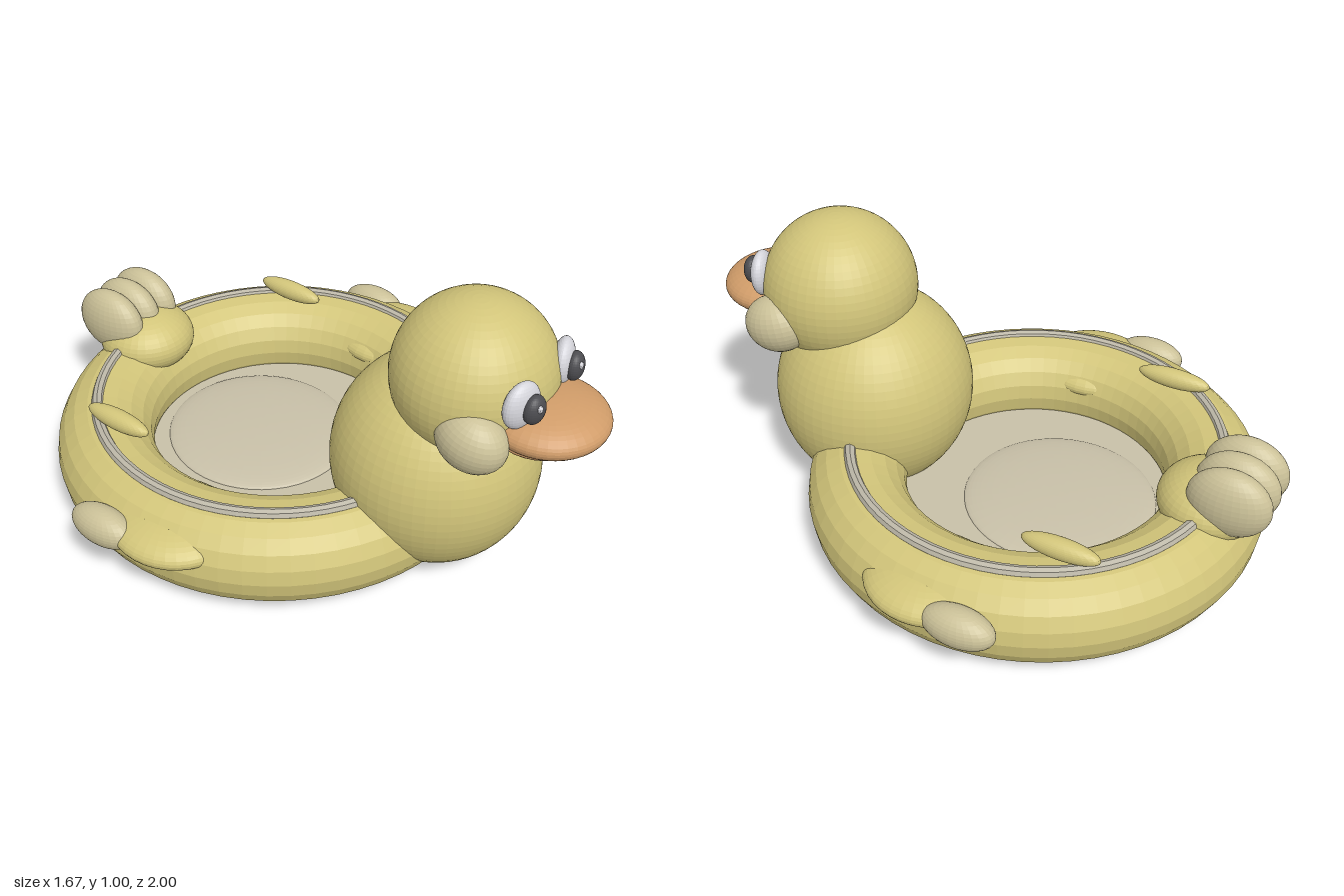
import * as THREE from 'three';

const mat = (name, color) => {
  const m = new THREE.MeshStandardMaterial({ color, flatShading: true });
  m.name = name;
  return m;
};

export function createModel() {
  const model = new THREE.Group();
  model.name = 'duckSwimRing';

  const yellow = mat('yellow', 0xd2c57a);
  const cream = mat('cream', 0xcbc198);
  const floorTone = mat('floorBeige', 0xc8c0a8);
  const trimGrey = mat('trimGrey', 0xbdb8a8);
  const orange = mat('beakOrange', 0xd09c69);
  const white = mat('eyeWhite', 0xd6d6dc);
  const dark = mat('pupilDark', 0x4c4c50);

  const RING_Z = -0.175;

  const add = (name, geometry, material, pos, rot = [0, 0, 0]) => {
    const mesh = new THREE.Mesh(geometry, material);
    mesh.name = name;
    mesh.position.set(...pos);
    mesh.rotation.set(...rot);
    model.add(mesh);
    return mesh;
  };

  // ellipsoid given by centre and three radii
  const blob = (name, material, pos, radii, rot, seg = 32) =>
    add(name, new THREE.SphereGeometry(1, seg, Math.round(seg * 0.67)).scale(...radii), material, pos, rot);

  // same ellipsoid on the left (+x) and right (-x) sides
  const pair = (name, material, [x, y, z], radii, [rx, ry, rz] = [0, 0, 0], seg = 28) => {
    blob(name + 'Left', material, [x, y, z], radii, [rx, ry, rz], seg);
    blob(name + 'Right', material, [-x, y, z], radii, [rx, -ry, -rz], seg);
  };

  // inflatable ring with trim
  add('ring', new THREE.TorusGeometry(0.605, 0.165, 20, 64).rotateX(Math.PI / 2), yellow, [0, 0.175, RING_Z]);
  add('rimTrim', new THREE.TorusGeometry(0.621, 0.02, 8, 72).rotateX(Math.PI / 2), trimGrey, [0, 0.335, RING_Z]);

  // floor and round cushion
  add('floor', new THREE.CylinderGeometry(0.47, 0.47, 0.02, 64), floorTone, [0, 0.105, RING_Z]);
  blob('cushion', floorTone, [0, 0.115, -0.265], [0.316, 0.03, 0.328], undefined, 48);

  // body and head
  blob('body', yellow, [0, 0.365, 0.45], [0.34, 0.365, 0.34], undefined, 56);
  blob('head', yellow, [0, 0.735, 0.563], [0.262, 0.26, 0.258], undefined, 48);
  pair('cheek', cream, [0.213, 0.668, 0.68], [0.088, 0.098, 0.115], [0.2, 0, 0]);

  // beak
  blob('upperBeak', orange, [0, 0.683, 0.81], [0.19, 0.073, 0.19], undefined, 40);
  blob('lowerBeak', orange, [0, 0.635, 0.79], [0.155, 0.045, 0.155], undefined, 32);

  // eyes
  pair('eyeWhite', white, [0.13, 0.79, 0.783], [0.068, 0.078, 0.035], [0, 0.3, 0]);
  pair('pupil', dark, [0.127, 0.79, 0.822], [0.04, 0.048, 0.03], [0, 0.2, 0]);
  for (const x of [0.114, -0.14])
    blob('eyeGlint', white, [x, 0.808, 0.846], [0.01, 0.012, 0.008], undefined, 12);

  // wings through the ring, with pale tips
  pair('wing', yellow, [0.63, 0.23, -0.12], [0.192, 0.07, 0.215], [0, 0, 0], 36);
  pair('wingTip', cream, [0.772, 0.235, -0.288], [0.062, 0.065, 0.122], [0, 0, 0]);

  // handles on top of the ring
  pair('handle', yellow, [0.478, 0.377, -0.477], [0.035, 0.035, 0.13]);

  // tail with three feathers
  blob('tailBase', yellow, [0, 0.322, -0.78], [0.17, 0.112, 0.17], undefined, 36);
  for (const x of [-0.088, 0, 0.088])
    blob('tailFeather', cream, [x, 0.405, -0.862], [0.07, 0.12, 0.137], undefined, 32);

  return model;
}
